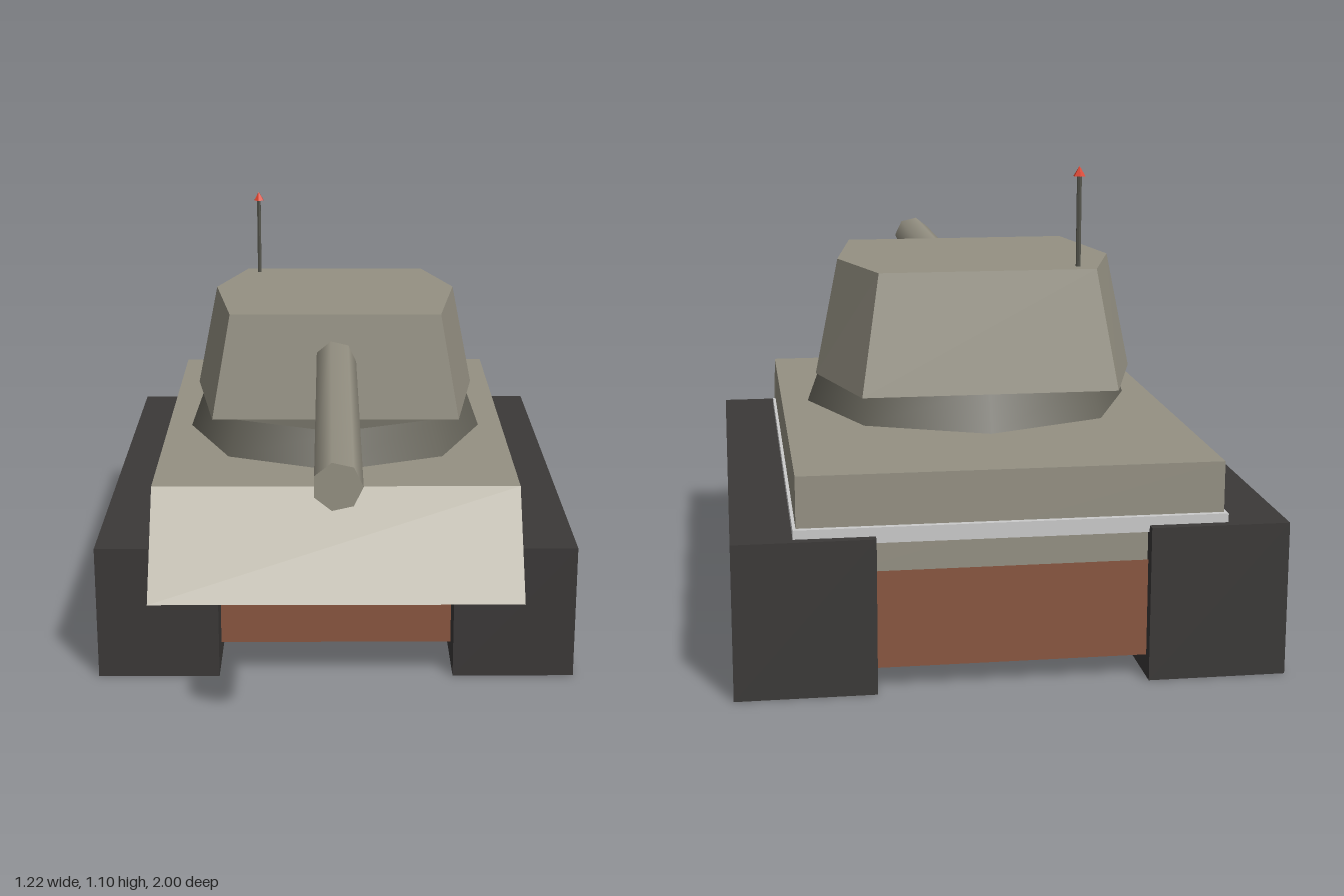
import * as THREE from 'three';

const mat = (color, flatShading = true, side = THREE.FrontSide) =>
  new THREE.MeshStandardMaterial({ color, flatShading, side });

export function createModel() {
  const model = new THREE.Group();
  model.name = 'tank';

  const add = (name, geometry, material, x = 0, y = 0, z = 0) => {
    const mesh = new THREE.Mesh(geometry, material);
    mesh.name = name;
    mesh.position.set(x, y, z);
    model.add(mesh);
    return mesh;
  };
  // Box given by its half width and its y and z ranges
  const block = (name, halfX, y0, y1, z0, z1, material, x = 0) =>
    add(name, new THREE.BoxGeometry(halfX * 2, y1 - y0, z1 - z0), material,
      x, (y0 + y1) / 2, (z0 + z1) / 2);

  const olive = mat(0x959183);
  const oliveSmooth = mat(0x959183, false);
  const trackMat = mat(0x3b3938);
  const rust = mat(0x8a5740, true, THREE.DoubleSide);

  // Tracks
  for (const [side, s] of [['left', 1], ['right', -1]])
    block(side + 'Track', 0.155, 0, 0.35, -1, 0.37, trackMat, s * 0.455);

  // Lower hull: upright plates, open underneath
  for (const [name, z] of [['lowerFrontPlate', 0.27], ['lowerRearPlate', -0.972]])
    add(name, new THREE.PlaneGeometry(0.6, 0.22), rust, 0, 0.16, z);

  // Upper hull, fender plate and sloped bow
  block('hull', 0.47, 0.24, 0.485, -0.965, 0.28, olive);
  block('fenderPlate', 0.477, 0.335, 0.37, -0.978, 0.29, mat(0xcccccc));
  const bow = new THREE.Shape([
    new THREE.Vector2(-0.28, 0.24), new THREE.Vector2(-0.28, 0.485), new THREE.Vector2(-0.47, 0.24),
  ]);
  const bowGeometry = new THREE.ExtrudeGeometry(bow, { depth: 0.94, bevelEnabled: false });
  bowGeometry.translate(0, 0, -0.47).rotateY(Math.PI / 2);
  add('bowPlate', bowGeometry, mat(0xaaa596));

  // Turret ring
  add('turretRing', new THREE.CylinderGeometry(0.37, 0.405, 0.095, 8), mat(0x68665c, false), 0, 0.5325, -0.25);

  // Turret: a six-sided plan tapering to the roof
  add('turret', loft(
    mirrored([[0.33, 0.01], [0.39, -0.37], [0.3, -0.66]]), 0.58,
    mirrored([[0.28, -0.025], [0.333, -0.36], [0.255, -0.605]]), 0.86), olive);

  // Gun barrel, seven-sided with a corner towards the left
  const barrel = new THREE.CylinderGeometry(0.055, 0.055, 1.05, 7);
  barrel.rotateX(Math.PI / 2).rotateZ(Math.PI / 2);
  add('gunBarrel', barrel, oliveSmooth, 0, 0.735, 0.475);

  // Antenna with a red tip
  add('antenna', new THREE.CylinderGeometry(0.006, 0.006, 0.225, 6), mat(0x55554d), -0.22, 0.9625, -0.56);
  add('antennaTip', new THREE.ConeGeometry(0.015, 0.024, 6), mat(0xd8402a), -0.22, 1.084, -0.56);

  return model;
}

// Completes a left-side outline with its mirror image
function mirrored(points) {
  return [...points, ...points.map(([x, z]) => [-x, z]).reverse()];
}

// Closed solid between two horizontal outlines
function loft(bottom, y0, top, y1) {
  const positions = [];
  const low = bottom.map(([x, z]) => [x, y0, z]);
  const high = top.map(([x, z]) => [x, y1, z]);
  const tri = (a, b, c) => positions.push(...a, ...b, ...c);
  const n = low.length;
  for (let i = 0; i < n; i++) {
    const j = (i + 1) % n;
    tri(low[i], low[j], high[j]);
    tri(low[i], high[j], high[i]);
    if (i > 0 && i < n - 1) {
      tri(high[0], high[i], high[j]);
      tri(low[0], low[j], low[i]);
    }
  }
  const geometry = new THREE.BufferGeometry();
  geometry.setAttribute('position', new THREE.Float32BufferAttribute(positions, 3));
  geometry.computeVertexNormals();
  return geometry;
}
